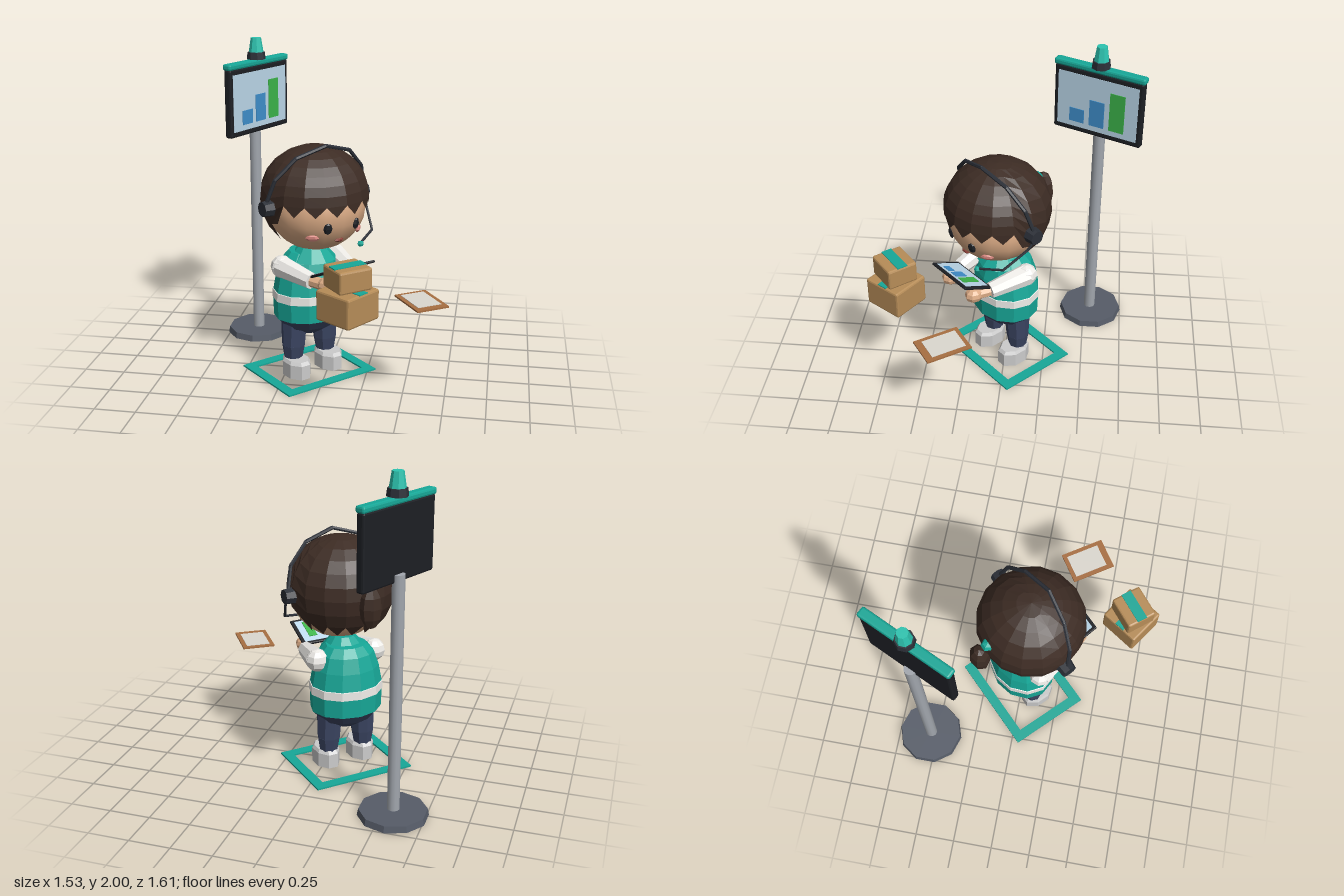
import * as THREE from 'three';
import { RoundedBoxGeometry } from 'three/addons/geometries/RoundedBoxGeometry.js';

const C = {
  teal: 0x17a898, hair: 0x3d2c24, skin: 0xdcac86, navy: 0x3b4562, white: 0xeeece8, shoe: 0xd6d6d6,
  dark: 0x1d1f24, headset: 0x2c3038, card: 0xb78d58, pole: 0xa2a7ae, base: 0x565c68, screen: 0xbcd8ea,
  blue: 0x3f8fcc, green: 0x3cb44a, board: 0xa86f42, paper: 0xdcd8d0, blush: 0xd98880, mouth: 0x8a4038,
};
const V = (x, y, z) => new THREE.Vector3(x, y, z);

function add(parent, name, geo, color, pos = [0, 0, 0], smooth = false) {
  const mat = new THREE.MeshStandardMaterial({ color, flatShading: !smooth, side: THREE.DoubleSide });
  const m = new THREE.Mesh(geo, mat);
  m.name = name;
  m.position.set(...pos);
  parent.add(m);
  return m;
}
function group(parent, name, pos, ry = 0) {
  const g = new THREE.Group();
  g.name = name;
  g.position.set(...pos);
  g.rotation.y = ry;
  parent.add(g);
  return g;
}
const box = (w, h, d) => new THREE.BoxGeometry(w, h, d);
const ball = (rx, ry, rz, ws = 8, hs = 6) => new THREE.SphereGeometry(1, ws, hs).scale(rx, ry, rz);
const lathe = (pts, n) => new THREE.LatheGeometry(pts.map(p => new THREE.Vector2(...p)), n);

// Tapered round bar from a to b
function bar(parent, name, a, b, ra, rb, color, n = 8) {
  const m = add(parent, name, new THREE.CylinderGeometry(rb, ra, a.distanceTo(b), n), color);
  m.position.copy(a).lerp(b, 0.5);
  m.quaternion.setFromUnitVectors(V(0, 1, 0), b.clone().sub(a).normalize());
  return m;
}
// Bent rod through a list of points with ball joints
function rod(parent, name, pts, r, color) {
  const g = group(parent, name, [0, 0, 0]);
  for (let i = 1; i < pts.length; i++) {
    bar(g, name + 'Segment', pts[i - 1], pts[i], r, r, color, 6);
    add(g, name + 'Joint', ball(r, r, r, 6, 4), color, pts[i].toArray());
  }
}

// Hair cap: a dome whose lower rim drops from the fringe to the nape
function hairGeometry() {
  const geo = new THREE.SphereGeometry(1, 16, 9), p = geo.attributes.position, uv = geo.attributes.uv;
  for (let i = 0; i < p.count; i++) {
    const az = (uv.getX(i) - 0.5) * Math.PI * 2;
    const k = THREE.MathUtils.smoothstep(Math.abs(az), 1.15, 1.8);
    const th = (1 - THREE.MathUtils.clamp(p.getY(i), -1, 1));
    const t = Math.acos(1 - th) / Math.PI * THREE.MathUtils.degToRad(100 + 38 * k);
    const c = Math.cos(t), s = Math.sin(t);
    p.setXYZ(i, 0.328 * s * Math.sin(az), c * (c > 0 ? 0.3 : 0.34), 0.328 * s * Math.cos(az));
  }
  return geo;
}

// Bar chart on a panel lying in the local xy plane
function chart(parent, w, h, z) {
  add(parent, 'screen', box(w, h, 0.004), C.screen, [0, 0, z]);
  [0.25, 0.48, 0.7].forEach((f, i) => add(parent, 'chartBar', box(w * 0.185, h * f, 0.004),
    i === 2 ? C.green : C.blue, [(i - 1) * w * 0.25, h * (f / 2 - 0.4), z + 0.004]));
}

function buildHead(person) {
  const head = group(person, 'head', [0, 1.1, 0.085]);
  const rx = 0.3, ry = 0.268, rz = 0.285;
  add(head, 'face', ball(rx, ry, rz, 16, 12), C.skin, [0, 0, 0], true);
  const onFace = (name, x, y, w, h, color) => {
    const z = rz * Math.sqrt(1 - (x / rx) ** 2 - (y / ry) ** 2);
    add(head, name, ball(w, h, 0.014, 6, 4), color, [x, y, z]).rotation.set(-y * 2, Math.atan2(x, z), 0, 'YXZ');
  };
  for (const s of [-1, 1]) {
    onFace('eye', s * 0.1, -0.07, 0.027, 0.036, C.dark);
    onFace('cheek', s * 0.165, -0.13, 0.042, 0.021, C.blush);
  }
  onFace('mouth', 0, -0.16, 0.032, 0.012, C.mouth);
  add(head, 'hair', hairGeometry(), C.hair, [0, 0.06, -0.02]);
  add(head, 'hairBun', ball(0.07, 0.13, 0.06, 7, 6), C.hair, [0, 0.02, -0.385]);
  add(head, 'hairTie', ball(0.042, 0.035, 0.045, 6, 4), C.teal, [0, 0.14, -0.322]);

  // Headset
  const set = group(person, 'headset', [0, 0, 0]);
  for (const s of [-1, 1]) {
    add(set, 'earCup', new THREE.CylinderGeometry(0.045, 0.052, 0.06, 8).rotateZ(-s * Math.PI / 2), C.headset, [s * 0.345, 1.13, 0.075]);
  }
  rod(set, 'headband', [[-0.35, 1.15, 0.075], [-0.31, 1.3, 0.115], [-0.19, 1.42, 0.155], [0, 1.475, 0.184],
    [0.19, 1.42, 0.155], [0.31, 1.3, 0.115], [0.35, 1.15, 0.075]].map(p => V(...p)), 0.012, C.headset);
  rod(set, 'microphoneArm', [V(0.36, 1.11, 0.08), V(0.345, 1.05, 0.12), V(0.286, 0.935, 0.258), V(0.14, 0.897, 0.335)], 0.008, C.headset);
  add(set, 'microphone', ball(0.022, 0.018, 0.018, 6, 4), C.teal, [0.14, 0.895, 0.338]);
}

function buildPerson(root) {
  const person = group(root, 'person', [-0.115, 0, 0], Math.PI / 4);
  const body = (name, pts, color) => add(person, name, lathe(pts, 12).scale(1.06, 1, 0.92), color);
  body('hips', [[0, 0.262], [0.07, 0.268], [0.16, 0.325], [0.212, 0.39]], C.navy);
  body('vestLower', [[0.212, 0.385], [0.216, 0.5]], C.teal);
  body('reflectiveStripe', [[0.216, 0.5], [0.22, 0.502], [0.218, 0.553], [0.212, 0.555]], C.white);
  body('vestUpper', [[0.214, 0.555], [0.195, 0.66], [0.165, 0.75], [0.12, 0.8], [0, 0.81]], C.teal);
  add(person, 'collar', new THREE.CylinderGeometry(0.07, 0.15, 0.09, 10), C.teal, [0, 0.8, 0.035]);

  for (const s of [-1, 1]) {
    // Legs and shoes
    bar(person, 'leg', V(s * 0.12, 0.1, 0), V(s * 0.118, 0.2, 0), 0.055, 0.072, C.navy);
    bar(person, 'thigh', V(s * 0.118, 0.2, 0), V(s * 0.112, 0.38, 0), 0.072, 0.082, C.navy);
    const shoe = lathe([[0, 0], [1, 0], [1, 0.09], [0.85, 0.11], [0, 0.11]], 8).rotateY(Math.PI / 8).scale(0.08, 1, 0.112);
    add(person, 'shoe', shoe, C.shoe, [s * 0.12, 0.01, 0.035]);
    // Arms
    const shoulder = V(s * 0.195, 0.722, 0), cuff = V(s * 0.15, 0.695, 0.25);
    add(person, 'shoulder', ball(0.07, 0.07, 0.07), C.white, shoulder.toArray());
    bar(person, 'sleeve', shoulder, cuff, 0.07, 0.05, C.white);
    bar(person, 'wrist', cuff, V(s * 0.12, 0.69, 0.33), 0.035, 0.035, C.skin);
    add(person, 'hand', ball(0.052, 0.048, 0.06), C.skin, [s * 0.115, 0.69, 0.345]);
  }

  // Tablet, far edge raised
  const tablet = group(person, 'tablet', [0, 0.768, 0.349]);
  tablet.rotation.x = -Math.PI / 2 - 0.43;
  tablet.scale.set(1, 1, 1);
  const face = group(tablet, 'tabletFace', [0, 0, 0]);
  add(face, 'tabletCase', new RoundedBoxGeometry(0.33, 0.217, 0.016, 1, 0.006), C.dark);
  chart(face, 0.29, 0.18, 0.008);
  buildHead(person);

  // Floor marking
  const rect = (path, x, y) => path.moveTo(-x, -y).lineTo(x, -y).lineTo(x, y).lineTo(-x, y).closePath();
  const shape = rect(new THREE.Shape(), 0.325, 0.262);
  shape.holes.push(rect(new THREE.Path(), 0.263, 0.2));
  add(person, 'floorFrame', new THREE.ExtrudeGeometry(shape, { depth: 0.01, bevelEnabled: false }).rotateX(-Math.PI / 2), C.teal);
}

function buildSign(root) {
  add(root, 'signBase', new THREE.CylinderGeometry(0.2, 0.207, 0.04, 10), C.base, [-0.565, 0.02, -0.545]);
  add(root, 'signPole', new THREE.CylinderGeometry(0.037, 0.037, 1.42, 12), C.pole, [-0.565, 0.74, -0.54], true);
  const sign = group(root, 'sign', [-0.545, 0, -0.527], THREE.MathUtils.degToRad(65));
  const panel = group(sign, 'signPanel', [0, 1.617, 0]);
  add(panel, 'signCase', new RoundedBoxGeometry(0.588, 0.43, 0.05, 1, 0.012), C.dark);
  chart(panel, 0.535, 0.36, 0.025);
  add(sign, 'signTopBar', new RoundedBoxGeometry(0.6, 0.04, 0.06, 1, 0.012), C.teal, [0, 1.847, 0]);
  add(sign, 'beaconBase', new THREE.CylinderGeometry(0.055, 0.06, 0.045, 8), C.headset, [0, 1.888, 0]);
  add(sign, 'beacon', new THREE.CylinderGeometry(0.033, 0.047, 0.09, 8), 0x2cc4b0, [0, 1.955, 0]);
}

function buildParcels(root) {
  const parcel = (name, w, h, d, y, deg) => {
    const g = group(root, name, [0.22, y, 0.635], THREE.MathUtils.degToRad(deg));
    add(g, 'carton', new RoundedBoxGeometry(w, h, d, 1, 0.012), C.card, [0, h / 2, 0]);
    add(g, 'tape', box(w * 0.97, 0.006, 0.065), C.teal, [0, h + 0.001, 0]);
  };
  parcel('largeParcel', 0.245, 0.178, 0.255, 0.618, -34);
  parcel('smallParcel', 0.206, 0.13, 0.19, 0.803, 39);

  const clip = group(root, 'clipboard', [0.602, 0.62, 0.303], THREE.MathUtils.degToRad(33.4));
  add(clip, 'board', box(0.203, 0.01, 0.282), C.board);
  add(clip, 'paper', box(0.15, 0.004, 0.215), C.paper, [0, 0.006, -0.008]);
}

export function createModel() {
  const root = new THREE.Group();
  root.name = 'warehouseWorkerScene';
  buildPerson(root);
  buildSign(root);
  buildParcels(root);
  return root;
}
